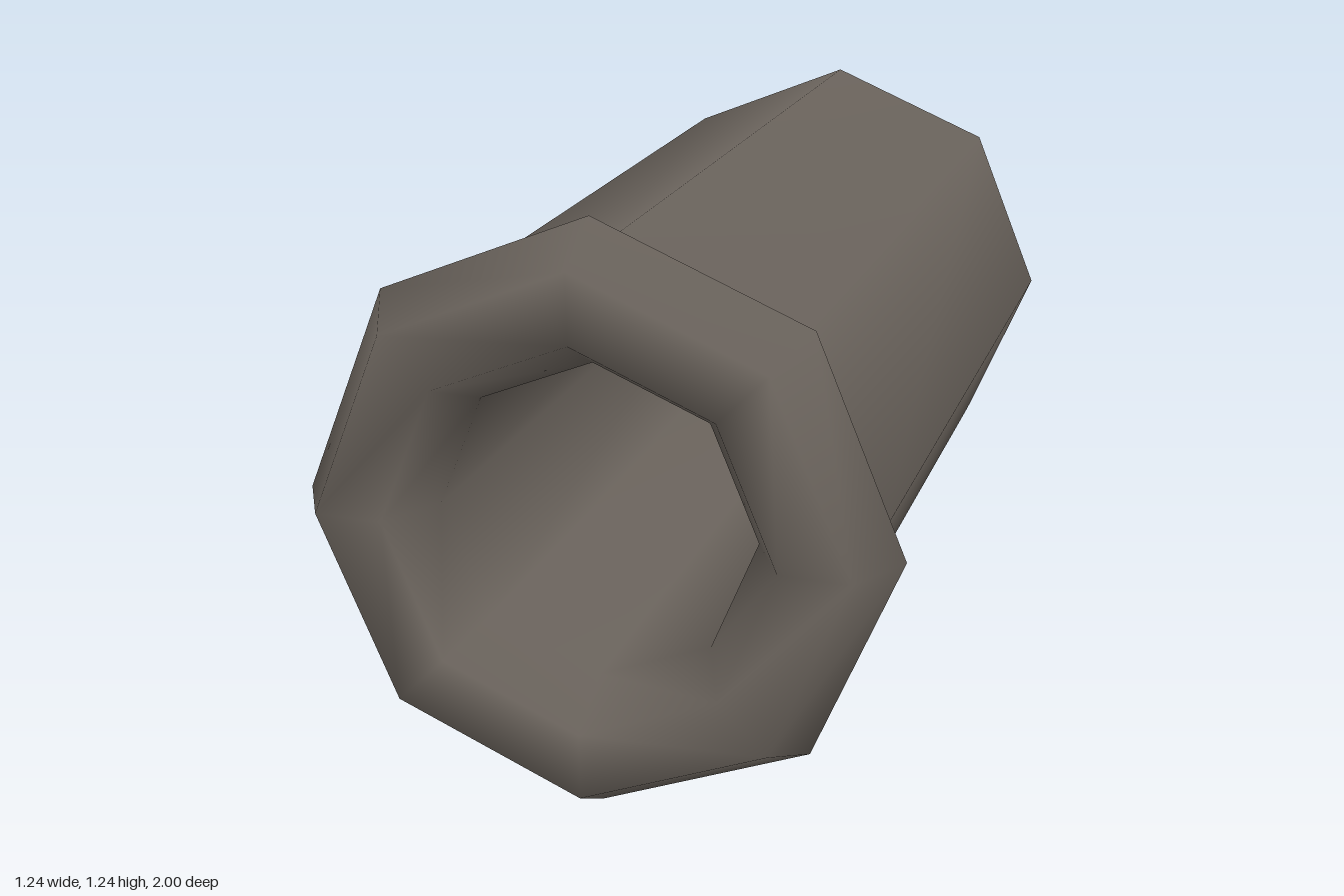
import * as THREE from 'three';

export function createModel() {
  const group = new THREE.Group();
  group.name = 'barrelTube';

  const metal = new THREE.MeshStandardMaterial({ color: 0x6b645d, side: THREE.DoubleSide });
  metal.name = 'dark warm grey';

  const rOuter = 0.548, rFlange = 0.622, rBore = 0.333, rLip = 0.405;

  // One continuous wall: outer sleeve, flared rim at the front, then back along the bore.
  // The gap between sleeve and bore stays open at the rear.
  const profile = [
    [rOuter, -1],
    [rOuter, 0.75],
    [rFlange, 0.875],
    [rOuter, 1],
    [rLip, 1],
    [rBore, 0.875],
    [rBore, -1],
  ].map(([r, z]) => new THREE.Vector2(r, z));

  // Eight-sided lathe, turned so its axis runs along z
  const geometry = new THREE.LatheGeometry(profile, 8);
  geometry.rotateX(Math.PI / 2);

  const tube = new THREE.Mesh(geometry, metal);
  tube.name = 'flangedTube';
  tube.position.y = rFlange;
  group.add(tube);

  return group;
}
